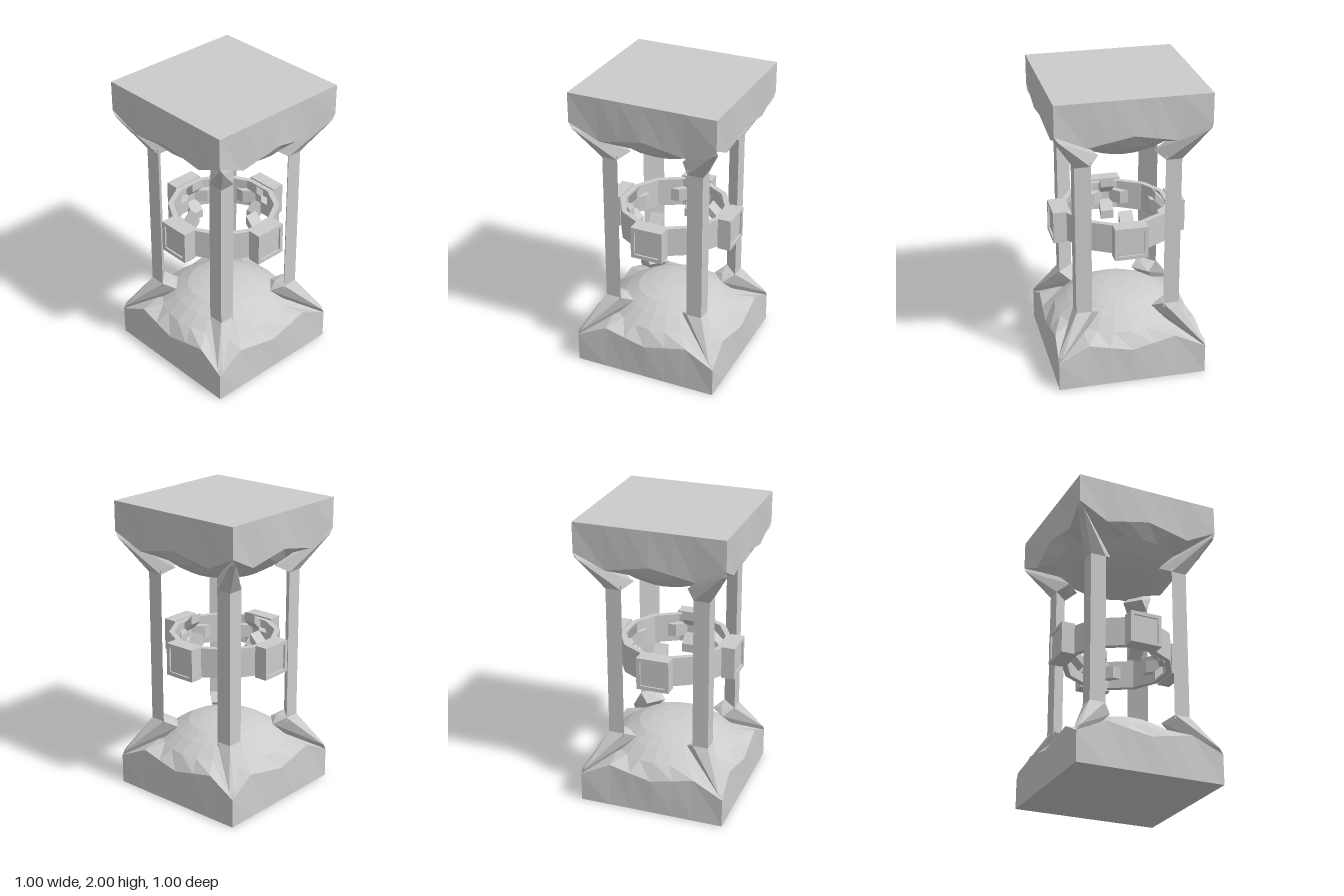
import * as THREE from 'three';
import { ConvexGeometry } from 'three/addons/geometries/ConvexGeometry.js';

const grey = new THREE.MeshStandardMaterial({ color: 0xcccccc, flatShading: true });

function add(parent, geometry, name) {
  const mesh = new THREE.Mesh(geometry, grey);
  mesh.name = name;
  parent.add(mesh);
  return mesh;
}

const polygon = (Type, points) => new Type(points.map((p) => new THREE.Vector2(...p)));
const square = (Type, h) => polygon(Type, [[-h, -h], [h, -h], [h, h], [-h, h]]);

// Square block whose wavy rim closes into a shallow faceted dome
function domedBlock() {
  // One quarter of the foot outline and of the rim above it
  const foot = [[0.5, 0, 0], [0.5, 0, 0.15], [0.5, 0, 0.295],
    [0.5, 0, 0.5], [0.295, 0, 0.5], [0.15, 0, 0.5]];
  const rim = [[0.5, 0.24, 0], [0.493, 0.27, 0.15], [0.485, 0.3, 0.295],
    [0.5, 0.2, 0.5], [0.295, 0.3, 0.485], [0.15, 0.27, 0.493]];
  const dome = [[0.43, 0.34], [0.34, 0.405], [0.25, 0.455], [0.17, 0.477], [0.08, 0.49], [0, 0.49]];
  const n = 24;
  const loop = (f) => Array.from({ length: n }, (_, k) => f(k));
  const fourfold = (quarter) => loop((k) => {
    let [x, y, z] = quarter[k % 6];
    for (let i = 0; i < Math.floor(k / 6); i++) [x, z] = [-z, x];
    return [x, y, z];
  });
  const circle = ([r, y]) => loop((k) => {
    const a = (k * Math.PI * 2) / n;
    return [r * Math.cos(a), y, r * Math.sin(a)];
  });
  const rings = [circle([0, 0]), fourfold(foot), fourfold(rim), ...dome.map(circle)];
  const pos = [];
  for (let s = 0; s < rings.length - 1; s++) {
    for (let k = 0; k < n; k++) {
      const a = rings[s][k], b = rings[s][(k + 1) % n];
      const c = rings[s + 1][k], d = rings[s + 1][(k + 1) % n];
      if (s < rings.length - 2) pos.push(...a, ...c, ...d);
      if (s > 0) pos.push(...a, ...d, ...b);
    }
  }
  const g = new THREE.BufferGeometry();
  g.setAttribute('position', new THREE.Float32BufferAttribute(pos, 3));
  g.computeVertexNormals();
  return g;
}

// Angular foot running from a block corner to the end of a column
function footGeometry() {
  return new ConvexGeometry([
    [0.5, 0.2, 0.5], [0.5, 0.24, 0.475], [0.475, 0.24, 0.5],
    [0.35, 0.48, 0.35], [0.35, 0.48, 0.245], [0.245, 0.48, 0.35], [0.25, 0.465, 0.25],
    [0.18, 0.435, 0.28], [0.28, 0.435, 0.18], [0.36, 0.25, 0.36],
  ].map((p) => new THREE.Vector3(...p)));
}

// Three-sided column with its right angle facing outward
function columnGeometry() {
  const section = polygon(THREE.Shape, [[0.35, 0.35], [0.243, 0.35], [0.35, 0.243]]);
  const g = new THREE.ExtrudeGeometry(section, { depth: 1.1, bevelEnabled: false });
  return g.rotateX(Math.PI / 2).translate(0, 1.55, 0);
}

// Flat faceted band around the middle
function bandGeometry() {
  const profile = [[0.335, -0.1], [0.372, -0.1], [0.372, 0.1], [0.335, 0.1], [0.335, -0.1]]
    .map((p) => new THREE.Vector2(...p));
  return new THREE.LatheGeometry(profile, 12, Math.PI / 12);
}

// Framed panel with four prongs, two crossed chevrons, opening inward
function clasp() {
  const g = new THREE.Group();
  g.name = 'clasp';
  const frameShape = square(THREE.Shape, 0.11);
  frameShape.holes.push(square(THREE.Path, 0.085));
  const frame = new THREE.ExtrudeGeometry(frameShape, { depth: 0.09, bevelEnabled: false });
  add(g, frame, 'claspFrame').position.z = 0.357;
  add(g, new THREE.BoxGeometry(0.17, 0.17, 0.07), 'claspPanel').position.z = 0.4;
  const chevron = polygon(THREE.Shape, [[0.41, 0], [0.26, 0.15], [0.26, 0.09],
    [0.35, 0], [0.26, -0.09], [0.26, -0.15]]);
  for (const turn of [0, Math.PI / 2]) {
    const prongs = new THREE.ExtrudeGeometry(chevron, { depth: 0.09, bevelEnabled: false });
    prongs.translate(0, 0, -0.045).rotateY(-Math.PI / 2).rotateZ(turn);
    add(g, prongs, 'prongPair');
  }
  return g;
}

export function createModel() {
  const model = new THREE.Group();
  model.name = 'squareTower';
  const quarters = [0, 1, 2, 3].map((i) => (i * Math.PI) / 2);

  // Matching lower and upper ends
  for (const upper of [false, true]) {
    const end = new THREE.Group();
    end.name = upper ? 'top' : 'base';
    add(end, domedBlock(), 'domedBlock');
    for (const q of quarters) add(end, footGeometry(), 'columnFoot').rotation.y = q;
    if (upper) {
      end.rotation.x = Math.PI;
      end.position.y = 2;
    }
    model.add(end);
  }

  // Four corner columns
  for (const q of quarters) add(model, columnGeometry(), 'column').rotation.y = q;

  // Central band with a clasp on each side
  const ring = new THREE.Group();
  ring.name = 'centralRing';
  ring.position.y = 1;
  add(ring, bandGeometry(), 'band');
  for (const q of quarters) {
    const c = clasp();
    c.rotation.y = q;
    ring.add(c);
  }
  model.add(ring);
  return model;
}
